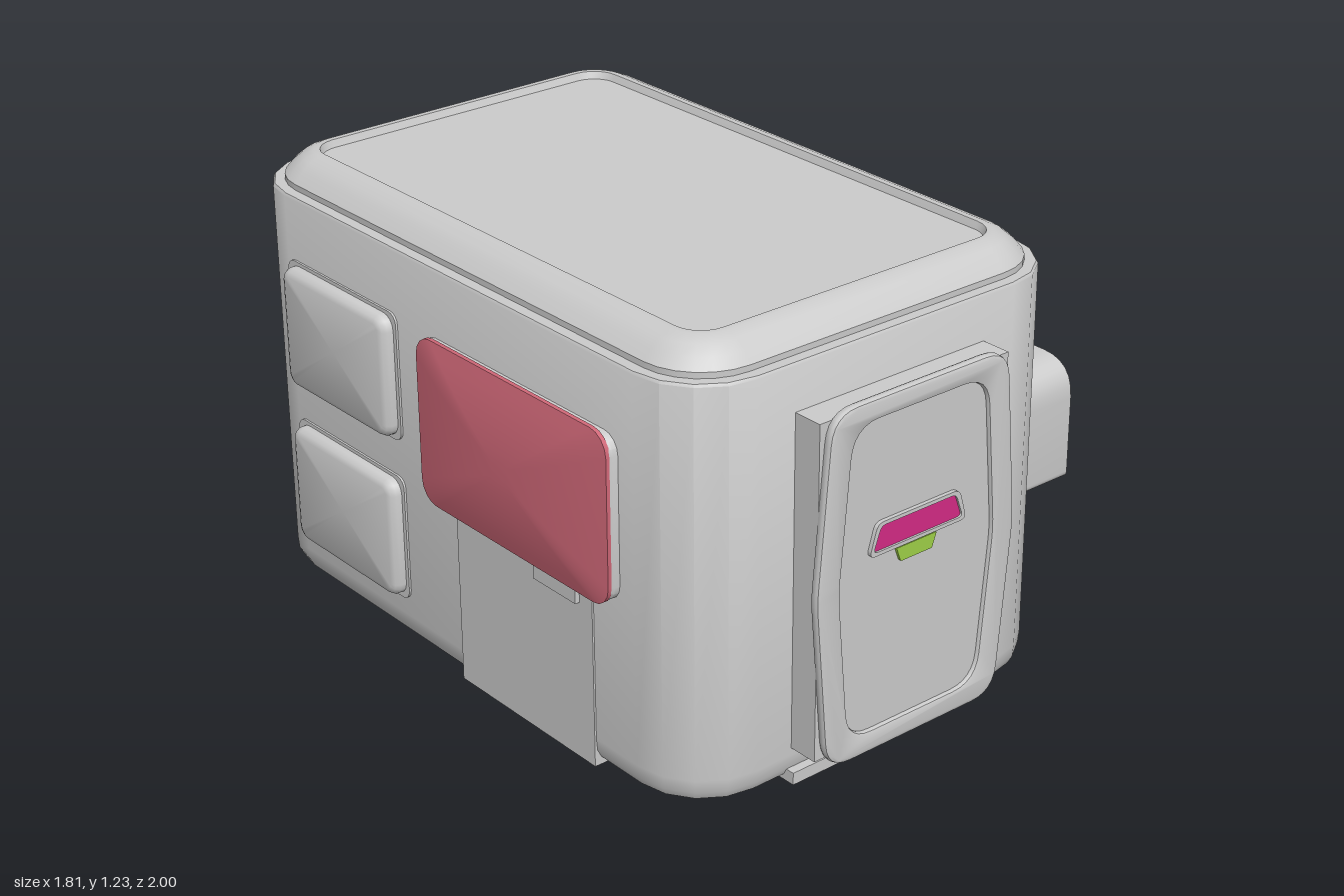
import * as THREE from 'three';
import { toCreasedNormals } from 'three/addons/utils/BufferGeometryUtils.js';

const mat = (color = 0xcccccc) => new THREE.MeshStandardMaterial({ color });
const grey = mat();

// Stack of rounded rectangles (in xz, rising along y), each ring = [inset, y, scale]
function loft(w, d, r, rings, seg = 4) {
  const pos = [], idx = [], n = 4 * (seg + 1);
  for (const [inset, y, s = 1] of rings) {
    const rr = Math.max(r - inset, 0.01);
    const hx = w / 2 - inset - rr, hz = d / 2 - inset - rr;
    for (let c = 0; c < 4; c++) for (let k = 0; k <= seg; k++) {
      const a = (c + k / seg) * Math.PI / 2;
      const sx = c === 0 || c === 3 ? 1 : -1, sz = c < 2 ? 1 : -1;
      pos.push(s * (sx * hx + rr * Math.cos(a)), y, s * (sz * hz + rr * Math.sin(a)));
    }
  }
  const last = rings.length - 1;
  for (let i = 0; i < last; i++) for (let j = 0; j < n; j++) {
    const a = i * n + j, b = i * n + (j + 1) % n;
    idx.push(a, a + n, b, b, a + n, b + n);
  }
  const base = pos.length / 3;
  pos.push(0, rings[0][1], 0, 0, rings[last][1], 0);
  for (let j = 0; j < n; j++) {
    const k = (j + 1) % n;
    idx.push(base, j, k, base + 1, last * n + k, last * n + j);
  }
  const g = new THREE.BufferGeometry();
  g.setAttribute('position', new THREE.Float32BufferAttribute(pos, 3));
  g.setIndex(idx);
  return toCreasedNormals(g, 0.7);
}

// Closed polygon with rounded corners; each point = [x, y, radius]
function roundPoly(pts, Type = THREE.Shape) {
  const s = new Type(), n = pts.length;
  pts.forEach(([x, y, r], i) => {
    const p = new THREE.Vector2(x, y);
    const toward = (q) => new THREE.Vector2(q[0], q[1]).sub(p).setLength(r).add(p);
    const a = toward(pts[(i + n - 1) % n]), b = toward(pts[(i + 1) % n]);
    if (i === 0) s.moveTo(a.x, a.y); else s.lineTo(a.x, a.y);
    if (r > 0) s.quadraticCurveTo(x, y, b.x, b.y);
  });
  s.closePath();
  return s;
}

const rect = (x0, x1, y0, y1, top, bottom = top) =>
  [[x0, y0, bottom], [x1, y0, bottom], [x1, y1, top], [x0, y1, top]];

function extrude(shape, depth, bevel = 0) {
  const g = new THREE.ExtrudeGeometry(shape, {
    depth: depth - 2 * bevel, bevelEnabled: bevel > 0, bevelThickness: bevel,
    bevelSize: bevel, bevelOffset: -bevel, bevelSegments: 2, curveSegments: 6,
  });
  g.translate(0, 0, bevel);
  return toCreasedNormals(g, 0.6);
}

export function createModel() {
  const model = new THREE.Group();
  const add = (name, geometry, material = grey, x = 0, y = 0, z = 0) => {
    const m = new THREE.Mesh(geometry, material);
    m.name = name;
    m.position.set(x, y, z);
    model.add(m);
    return m;
  };
  const box = (name, x0, x1, y0, y1, z0, z1) => add(name,
    new THREE.BoxGeometry(x1 - x0, y1 - y0, z1 - z0), grey,
    (x0 + x1) / 2, (y0 + y1) / 2, (z0 + z1) / 2);

  // Main housing and the lid with its shallow recess
  const W = 1.25, D = 1.88, cx = -0.215, cz = -0.05;
  add('housing', loft(W, D, 0.21, [[0.04, 0.012], [0.015, 0.022], [0.003, 0.045],
    [0, 0.08], [0, 1.14], [0.005, 1.147], [0.03, 1.147]]), grey, cx, 0, cz);
  add('lid', loft(W, D, 0.21, [[0.035, 1.14], [0.035, 1.163], [0.058, 1.19], [0.085, 1.212],
    [0.115, 1.225], [0.132, 1.225], [0.14, 1.205]], 6), grey, cx, 0, cz);

  // Strip under the housing, showing at the front and back lower edges
  box('baseStrip', -0.53, 0.1, 0.006, 0.04, -0.995, 0.91);

  // Front door: backing block, barrel-shaped rim, recessed panel
  box('doorBacking', -0.52, 0.1, 0.1, 1.02, 0.86, 0.975);
  const dx = -0.21;
  const barrel = (mid, end, y0, y1, r) => [
    [dx - end, y0, r], [dx + end, y0, r], [dx + mid, 0.56, 0.04],
    [dx + end, y1, r], [dx - end, y1, r], [dx - mid, 0.56, 0.04]];
  const rim = roundPoly(barrel(0.332, 0.29, 0.075, 1.045, 0.08));
  rim.holes.push(roundPoly(barrel(0.258, 0.22, 0.135, 0.99, 0.08), THREE.Path));
  add('doorRim', extrude(rim, 0.028, 0.009), grey, 0, 0, 0.972);
  add('doorPanel', extrude(roundPoly(barrel(0.275, 0.235, 0.12, 1.005, 0.08)), 0.015),
    grey, 0, 0, 0.972);

  // Front handle window with its surround, and the small tab below
  const trapezoid = (bottom, top, y0, y1, r) => [
    [dx - bottom, y0, r], [dx + bottom, y0, r], [dx + top, y1, r], [dx - top, y1, r]];
  const surround = roundPoly(trapezoid(0.163, 0.137, 0.622, 0.71, 0.02));
  surround.holes.push(roundPoly(trapezoid(0.15, 0.125, 0.632, 0.7, 0.015), THREE.Path));
  add('handleSurround', extrude(surround, 0.012), grey, 0, 0, 0.986);
  add('handleWindow', extrude(roundPoly(trapezoid(0.152, 0.127, 0.63, 0.702, 0.015)), 0.006),
    mat(0xd42a85), 0, 0, 0.986);
  add('handleTab', extrude(roundPoly([[-0.265, 0.578, 0.004], [-0.16, 0.578, 0.004],
    [-0.145, 0.618, 0.004], [-0.28, 0.618, 0.004]]), 0.009), mat(0x9fd048), 0, 0, 0.986);

  // Left-hand blocks extruded along +x, each with a thin flange
  const sideBlock = (name, x1, z0, z1, y0, y1, top, bottom, bevel = 0) => {
    const m = add(name, extrude(roundPoly(rect(-z1, -z0, y0, y1, top, bottom)), x1 - 0.39, bevel),
      grey, 0.39);
    m.rotation.y = Math.PI / 2;
  };
  sideBlock('upperBlock', 0.68, -0.495, 0.395, 0.645, 0.91, 0.06, 0.06);
  sideBlock('upperFlange', 0.422, -0.51, 0.405, 0.632, 0.92, 0.06, 0.06);
  sideBlock('lowerBlock', 0.905, -0.57, 0.465, 0.21, 0.57, 0.11, 0.02);
  sideBlock('lowerFlange', 0.45, -0.585, 0.48, 0.195, 0.602, 0.11, 0.02, 0.006);

  // Narrow slot frame below the blocks
  const slot = roundPoly(rect(-0.445, 0.54, 0.088, 0.168, 0.02));
  slot.holes.push(roundPoly(rect(-0.43, 0.525, 0.1, 0.156, 0.015), THREE.Path));
  add('slotFrame', extrude(slot, 0.032), grey, 0.39).rotation.y = Math.PI / 2;

  // Right-hand panels, rising towards -x
  const sidePanel = (name, h, d, r, rings, y, z, material = grey) => {
    add(name, loft(h, d, r, rings), material, -0.82, y, z).rotation.z = Math.PI / 2;
  };
  for (const [name, y] of [['lowerSidePanel', 0.313], ['upperSidePanel', 0.785]]) {
    sidePanel(name + 'Seat', 0.365, 0.5, 0.03, [[0, 0], [0, 0.026]], y, -0.525);
    sidePanel(name, 0.345, 0.475, 0.04,
      [[0, 0], [0, 0.043], [0.008, 0.056], [0.022, 0.062]], y, -0.525);
  }
  sidePanel('screenSeat', 0.45, 0.78, 0.05, [[0, 0], [0, 0.035], [0.012, 0.05]], 0.735, 0.235);

  // Bulging coloured screen
  const dome = [[0, 0.04]];
  for (let i = 0; i <= 6; i++) {
    const s = 1 - i / 6.5;
    dome.push([0, 0.086 - 0.034 * s * s, s]);
  }
  sidePanel('screen', 0.47, 0.77, 0.06, dome, 0.735, 0.235, mat(0xd06878));

  // Flush hatch below the screen, wrapping under the base, with a small catch
  const hatch = add('hatch', extrude(roundPoly(rect(-0.845, -0.56, -0.52, 0.04, 0).map(
    ([x, y]) => [x, y, x > -0.6 ? 0.12 : 0])), 0.48));
  hatch.rotation.x = -Math.PI / 2;
  box('hatchCatch', -0.858, -0.8, 0.45, 0.51, 0.3, 0.47);

  return model;
}
